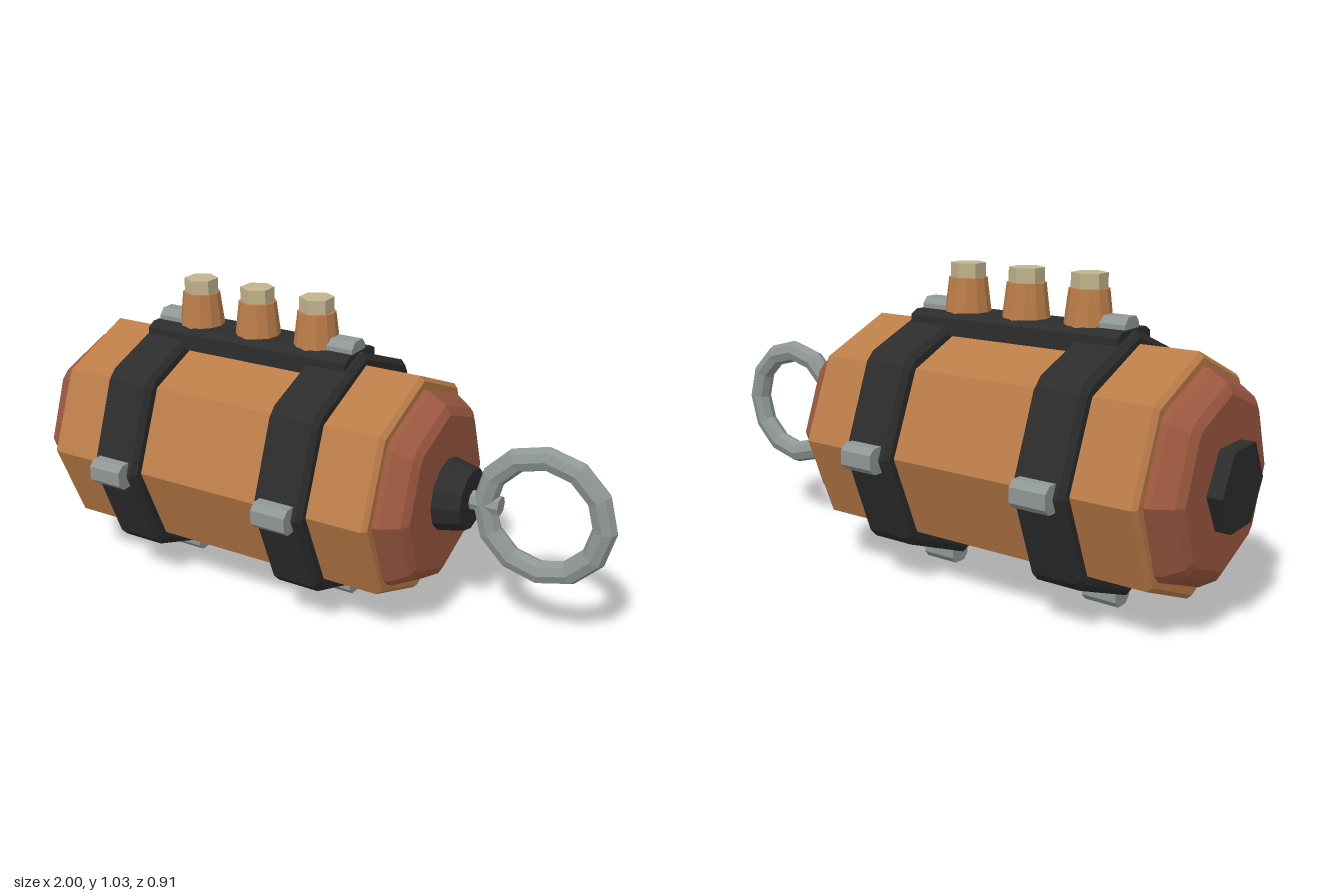
import * as THREE from 'three';

const AXIS_Y = 0.453;

const mat = (name, color) => {
  const m = new THREE.MeshStandardMaterial({ color, flatShading: true });
  m.name = name;
  return m;
};

// Octagon directions, a corner up; chamfer cuts the diagonal corners.
function octagon(chamfer) {
  const pts = [];
  for (let i = 0; i < 8; i++) {
    const t = (i * Math.PI) / 4;
    const offsets = i % 2 && chamfer ? [-chamfer, chamfer] : [0];
    for (const o of offsets) pts.push([Math.cos(t + o), Math.sin(t + o)]);
  }
  return pts;
}

// Sweeps the octagon along x through [x, radius] stations, closing both ends.
function loft(stations, chamfer = 0) {
  const ring = octagon(chamfer);
  const rows = [[stations[0][0], 0], ...stations, [stations.at(-1)[0], 0]];
  const pos = [];
  for (let s = 0; s < rows.length - 1; s++) {
    ring.forEach((p, i) => {
      const q = ring[(i + 1) % ring.length];
      const at = ([x, r], d) => [x, r * d[0], r * d[1]];
      const a = at(rows[s], p), b = at(rows[s], q);
      const c = at(rows[s + 1], q), d = at(rows[s + 1], p);
      if (rows[s][1] > 0) pos.push(...a, ...b, ...c);
      else pos.push(...a, ...c, ...d);
      if (rows[s][1] > 0 && rows[s + 1][1] > 0) pos.push(...a, ...c, ...d);
    });
  }
  const g = new THREE.BufferGeometry();
  g.setAttribute('position', new THREE.Float32BufferAttribute(pos, 3));
  g.computeVertexNormals();
  return g;
}

// Extrudes a (z, y) section along x, centred.
function bar(points, length) {
  const shape = new THREE.Shape(points.map(([z, y]) => new THREE.Vector2(z, y)));
  const g = new THREE.ExtrudeGeometry(shape, { depth: length, bevelEnabled: false });
  return g.translate(0, 0, -length / 2).rotateY(Math.PI / 2);
}

export function createModel() {
  const copper = mat('copper', 0xba7c48);
  const clay = mat('red clay', 0x9c5840);
  const black = mat('black rubber', 0x2c2c2c);
  const steel = mat('steel', 0x8f9696);
  const brass = mat('pale brass', 0xc2b38e);

  const model = new THREE.Group();
  model.name = 'canister';
  const add = (name, geometry, material, x = 0, y = AXIS_Y, z = 0) => {
    const m = new THREE.Mesh(geometry, material);
    m.name = name;
    m.position.set(x, y, z);
    model.add(m);
    return m;
  };

  // Barrel and its end caps
  add('barrel', loft([[-0.86, 0.36], [-0.845, 0.375], [0.34, 0.375], [0.355, 0.36]]), copper);
  add('leftCap', loft([[0.34, 0.335], [0.375, 0.33], [0.43, 0.295], [0.447, 0.265]], 0.06), clay);
  add('rightCap', loft([[-0.952, 0.265], [-0.935, 0.295], [-0.88, 0.33], [-0.845, 0.335]], 0.06), clay);

  // Straps, each with four clips
  const clip = bar([[-0.042, 0.37], [0.042, 0.37], [0.042, 0.432], [0.023, 0.453],
    [-0.023, 0.453], [-0.042, 0.432]], 0.12);
  for (const x of [-0.568, 0.063]) {
    add('strap', loft([[x - 0.088, 0.395], [x - 0.073, 0.416], [x + 0.073, 0.416],
      [x + 0.088, 0.395]], 0.05), black);
    for (let i = 0; i < 4; i++) {
      add('clip', clip, steel, x).rotation.x = (i * Math.PI) / 2;
    }
  }

  // Top plate
  add('topPlate', bar([[-0.098, 0.8], [0.098, 0.8], [0.098, 0.855], [0.07, 0.87],
    [-0.07, 0.87], [-0.098, 0.855]], 0.764), black, -0.254, 0);

  // Terminals with hex bolts
  for (const x of [-0.48, -0.255, -0.03]) {
    add('terminal', new THREE.CylinderGeometry(0.062, 0.076, 0.115, 12), copper, x, 0.922);
    add('bolt', new THREE.CylinderGeometry(0.056, 0.056, 0.055, 6), brass, x, 0.998);
  }

  // End knobs
  const hexKnob = new THREE.CylinderGeometry(0.139, 0.139, 0.06, 6).rotateZ(Math.PI / 2);
  add('rightKnob', hexKnob, black, -0.97);
  const neck = new THREE.CylinderGeometry(0.1, 0.122, 0.095, 12).rotateZ(-Math.PI / 2);
  add('leftKnob', neck, black, 0.4875);

  // Pull ring and the pin that holds it
  const ring = new THREE.TorusGeometry(0.192, 0.039, 8, 12).scale(1, 1, 0.9);
  add('pullRing', ring, steel, 0.768);
  const pin = new THREE.CylinderGeometry(0.032, 0.032, 0.11, 8).rotateZ(Math.PI / 2);
  add('ringPin', pin, steel, 0.575);

  return model;
}
